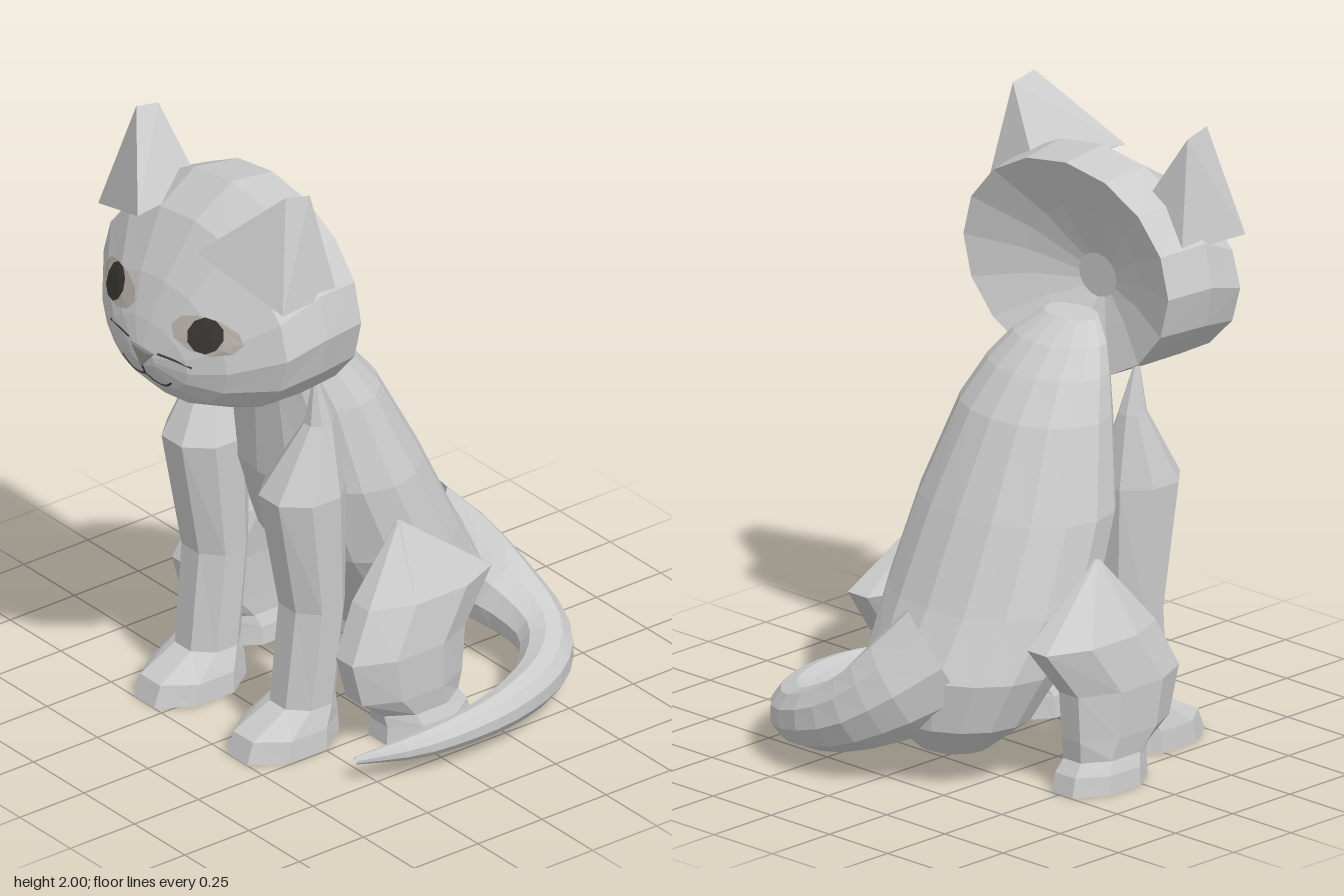
import * as THREE from 'three';
import { ConvexGeometry } from 'three/addons/geometries/ConvexGeometry.js';

const paint = (color) => new THREE.MeshStandardMaterial({ color, flatShading: true, side: THREE.DoubleSide });
const grey = paint(0xcccccc);
const dark = paint(0x3a3733);

function part(name, geometry, parent, material = grey) {
  const mesh = new THREE.Mesh(geometry, material);
  mesh.name = name;
  parent.add(mesh);
  return mesh;
}

// Skin over elliptical cross-sections, capped at both ends.
// Each ring is [centre, radiusA, radiusB]; rings lie in the xy plane (upright) or the xz plane.
function loft(rings, sides, upright, turn = 0) {
  const pos = [], idx = [];
  for (const [c, ra, rb] of rings) {
    for (let j = 0; j < sides; j++) {
      const a = ((j + turn) / sides) * Math.PI * 2;
      const u = Math.cos(a) * ra, v = Math.sin(a) * rb;
      pos.push(c[0] + u, c[1] + (upright ? v : 0), c[2] + (upright ? 0 : v));
    }
  }
  for (let i = 0; i < rings.length - 1; i++) {
    for (let j = 0; j < sides; j++) {
      const k = (j + 1) % sides;
      const a = i * sides + j, b = i * sides + k;
      idx.push(a, b, a + sides, b, b + sides, a + sides);
    }
  }
  const last = (rings.length - 1) * sides;
  for (let j = 1; j < sides - 1; j++) idx.push(0, j + 1, j, last, last + j, last + j + 1);
  const g = new THREE.BufferGeometry();
  g.setAttribute('position', new THREE.Float32BufferAttribute(pos, 3));
  g.setIndex(idx);
  g.computeVertexNormals();
  return g;
}

// Ring from its extents: level y, centre x, half width, front z, back z
const level = (y, x, w, front, back) => [[x, y, (front + back) / 2], w, (front - back) / 2];

// Octagonal limb with flat front and side faces
function limb(levels, s) {
  const k = 1 / Math.cos(Math.PI / 8);
  const rings = levels.map(([y, x, w, f, b]) => {
    const [c, ra, rb] = level(y, s * x, w, f, b);
    return [c, ra * k, rb * k];
  });
  return loft(rings, 8, false, 0.5);
}

// Tube whose radius changes along its path; points are [x, y, z, radius]
function taperedTube(points, segments, sides) {
  const curve = new THREE.CatmullRomCurve3(points.map((p) => new THREE.Vector3(p[0], p[1], p[2])));
  const g = new THREE.TubeGeometry(curve, segments, 1, sides);
  const p = g.attributes.position, v = new THREE.Vector3();
  for (let i = 0; i < p.count; i++) {
    const t = Math.floor(i / (sides + 1)) / segments;
    const u = curve.getUtoTmapping(t) * (points.length - 1);
    const n = Math.min(Math.floor(u), points.length - 2);
    const r = THREE.MathUtils.lerp(points[n][3], points[n + 1][3], u - n);
    const c = curve.getPointAt(t);
    v.fromBufferAttribute(p, i).sub(c).multiplyScalar(r).add(c);
    p.setXYZ(i, v.x, v.y, v.z);
  }
  g.computeVertexNormals();
  return g;
}

export function createModel() {
  const root = new THREE.Group();
  root.name = 'sittingCat';
  const cat = new THREE.Group();
  cat.name = 'cat';
  cat.position.x = -0.107;
  root.add(cat);

  // Head: hollowed at the back, tapering to the muzzle. Rows: z, half width, bottom, top
  const head = part('head', loft([
    [0.32, 0.08, 1.38, 1.52],
    [0.26, 0.24, 1.3, 1.68],
    [0.18, 0.44, 1.17, 1.85],
    [0.34, 0.475, 1.17, 1.87],
    [0.48, 0.455, 1.18, 1.78],
    [0.6, 0.31, 1.22, 1.61],
    [0.66, 0.19, 1.28, 1.49],
    [0.69, 0.06, 1.35, 1.41],
  ].map(([z, w, lo, hi]) => [[0, (lo + hi) / 2, z], w, (hi - lo) / 2]), 16, true), cat);

  // Lay face details onto the head surface
  const ray = new THREE.Raycaster();
  const faceZ = (x, y) => {
    ray.set(new THREE.Vector3(x, y, 2), new THREE.Vector3(0, 0, -1));
    const hit = ray.intersectObject(head)[0];
    return hit ? hit.point.z : 0.6;
  };
  function facePatch(name, x, y, w, h, sides, lift, material, turn = 0) {
    const g = new THREE.RingGeometry(0.001, 1, sides, 4, turn);
    g.scale(w, h, 1);
    g.translate(x, y, 0);
    const p = g.attributes.position;
    for (let i = 0; i < p.count; i++) p.setZ(i, faceZ(p.getX(i), p.getY(i)) + lift);
    part(name, g, cat, material);
  }
  function faceLine(name, pts) {
    const path = new THREE.CatmullRomCurve3(pts.map(([x, y]) => new THREE.Vector3(x, y, faceZ(x, y))));
    part(name, new THREE.TubeGeometry(path, 8, 0.004, 4), cat, dark);
  }
  facePatch('nose', 0, 1.388, 0.07, 0.045, 3, 0.005, paint(0x9a9690), -Math.PI / 2);
  faceLine('noseCrease', [[0, 1.35], [0, 1.33], [0, 1.315]]);

  // Body: neck to rump
  part('body', loft([
    level(1.36, 0, 0.1, 0.27, 0.14),
    level(1.3, 0, 0.17, 0.27, 0.04),
    level(1.22, 0, 0.22, 0.26, -0.05),
    level(1.1, 0, 0.27, 0.25, -0.15),
    level(0.82, 0, 0.34, 0.24, -0.3),
    level(0.55, 0, 0.36, 0.15, -0.43),
    level(0.36, 0, 0.33, 0.03, -0.54),
    level(0.2, 0, 0.26, -0.08, -0.53),
    level(0.09, 0, 0.12, -0.2, -0.42),
  ], 16, false), cat);

  // Tail: curls round the model's left side
  part('tail', taperedTube([
    [-0.01, 0.37, -0.38, 0.2],
    [0.07, 0.29, -0.49, 0.165],
    [0.2, 0.2, -0.57, 0.12],
    [0.39, 0.14, -0.57, 0.09],
    [0.535, 0.12, -0.45, 0.08],
    [0.63, 0.115, -0.25, 0.066],
    [0.66, 0.11, -0.05, 0.053],
    [0.645, 0.1, 0.13, 0.04],
    [0.575, 0.08, 0.31, 0.012],
  ], 20, 10), cat);

  for (const s of [1, -1]) {
    const side = s > 0 ? 'left' : 'right';

    // Ear: wedge with a short ridge at the tip
    part(side + 'Ear', new ConvexGeometry([
      [0.147, 1.77, 0.59], [0.457, 1.65, 0.5], [0.42, 1.64, 0.26],
      [0.23, 1.74, 0.28], [0.37, 2.0, 0.42], [0.375, 1.98, 0.33],
    ].map(([x, y, z]) => new THREE.Vector3(s * x, y, z))), cat);

    // Eye, its socket and half of the mouth
    facePatch(side + 'EyeSocket', s * 0.215, 1.515, 0.125, 0.055, 10, 0.004, paint(0xb8b0a8));
    facePatch(side + 'Eye', s * 0.222, 1.52, 0.062, 0.054, 10, 0.01, dark);
    faceLine(side + 'Mouth', [[0, 1.315], [s * 0.045, 1.3], [s * 0.09, 1.305], [s * 0.12, 1.33]]);
    faceLine(side + 'MuzzleEdge', [[s * 0.07, 1.412], [s * 0.13, 1.414], [s * 0.2, 1.408]]);

    // Front leg: shoulder point, straight leg, paw
    part(side + 'FrontLeg', limb([
      [1.25, 0.265, 0.008, 0.23, 0.21],
      [1.1, 0.262, 0.04, 0.25, 0.16],
      [0.87, 0.24, 0.12, 0.385, 0.12],
      [0.47, 0.24, 0.104, 0.312, 0.12],
      [0.14, 0.235, 0.095, 0.345, 0.15],
      [0.07, 0.23, 0.118, 0.475, 0.145],
      [0, 0.23, 0.122, 0.5, 0.14],
    ], s), cat);

    // Hind leg: folded thigh, hock, paw
    part(side + 'HindLeg', limb([
      [0.7, 0.35, 0.01, -0.03, -0.05],
      [0.48, 0.385, 0.1, 0.14, -0.34],
      [0.32, 0.405, 0.1, 0.22, -0.22],
      [0.17, 0.405, 0.095, 0.18, -0.21],
      [0.1, 0.4, 0.09, 0.09, -0.2],
      [0.06, 0.4, 0.105, 0.08, -0.23],
      [0, 0.4, 0.11, 0.085, -0.245],
    ], s), cat);
  }
  return root;
}
